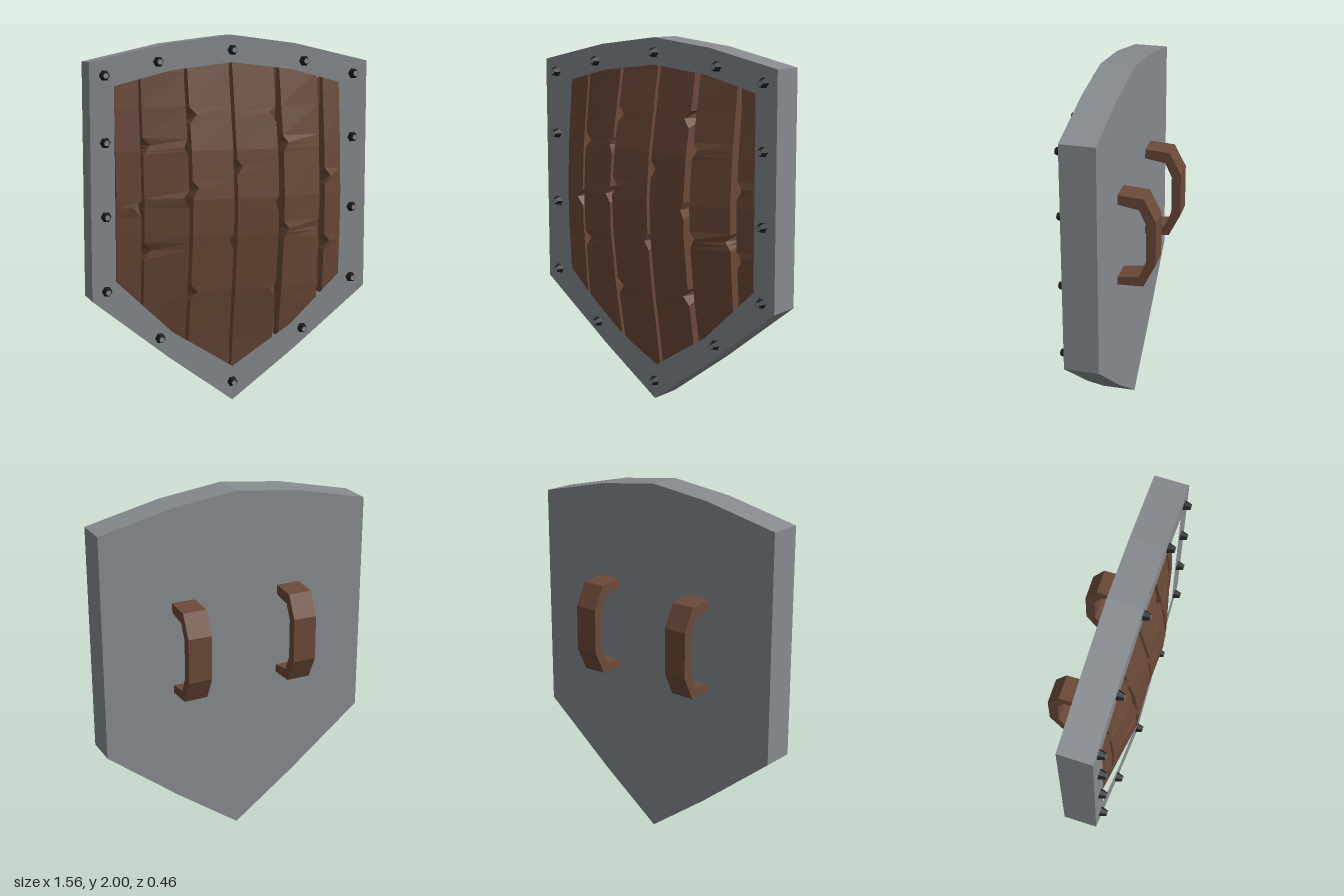
import * as THREE from 'three';

const steel = new THREE.MeshStandardMaterial({ color: 0x868b8f });
steel.name = 'steel';
const wood = new THREE.MeshStandardMaterial({ color: 0x6b4938 });
wood.name = 'wood';
const iron = new THREE.MeshStandardMaterial({ color: 0x1c1d1f });
iron.name = 'darkIron';

const BACK = -0.025, FLOOR = 0.06, FACE = 0.162;

// Right half outlines, from top centre to bottom tip
const OUTER = [[0, 2], [0.36, 1.955], [0.78, 1.86], [0.78, 0.6], [0.36, 0.265], [0, 0]];
const INNER = [[0, 1.855], [0.34, 1.815], [0.65, 1.735], [0.65, 0.7], [0.34, 0.405], [0, 0.19]];

const mirrored = (half) => [
  ...half, ...half.slice(1, -1).reverse().map(([x, y]) => [-x, y]),
].map(([x, y]) => new THREE.Vector2(x, y));

function add(group, name, geometry, material) {
  const mesh = new THREE.Mesh(geometry, material);
  mesh.name = name;
  group.add(mesh);
  return mesh;
}

function slab(points, z0, z1, hole) {
  const shape = new THREE.Shape(points);
  if (hole) shape.holes.push(new THREE.Path(hole));
  return new THREE.ExtrudeGeometry(shape, { depth: z1 - z0, bevelEnabled: false }).translate(0, 0, z0);
}

// Linear interpolation through [key, value] pairs
function lerpKeys(keys, t) {
  for (let i = 1; i < keys.length; i++) {
    const [a, va] = keys[i - 1], [b, vb] = keys[i];
    if (t <= b) return va + (vb - va) * Math.max(0, (t - a) / (b - a));
  }
  return keys[keys.length - 1][1];
}

// Bulge of the wooden face along its height and across its width
const BULGE = [[0.1, 0.025], [0.34, 0.062], [0.62, 0.115], [0.93, 0.157], [1.13, 0.165], [1.39, 0.14], [1.62, 0.095], [1.9, 0.04]];
const ACROSS = [[0, 0.92], [0.25, 0.98], [0.5, 0.62], [0.65, 0.45]];
const faceZ = (x, y) => 0.07 + lerpKeys(BULGE, y) * lerpKeys(ACROSS, Math.abs(x));

// Plank ends tuck just under the rim
const topY = (x) => lerpKeys(INNER.slice(0, 3), Math.abs(x)) + 0.03;
const bottomY = (x) => lerpKeys(INNER.slice(3).reverse(), Math.abs(x)) - 0.035;

// One plank from cross-sections; chips are [height, depth] notches in an edge
function plankGeometry(x0, x1, leftChips, rightChips) {
  const ys = [0, 2, ...BULGE.map((k) => k[0])];
  for (const [y] of [...leftChips, ...rightChips]) ys.push(y - 0.05, y, y + 0.04);
  for (const x of [x0, x1]) ys.push(topY(x), bottomY(x));
  ys.sort((a, b) => a - b);
  const notch = (chips, y) => {
    let d = 0;
    for (const [cy, depth] of chips) {
      d = Math.max(d, lerpKeys([[cy - 0.05, 0], [cy, depth], [cy + 0.04, 0]], y));
    }
    return d;
  };
  const rows = ys.map((y) => {
    const yl = THREE.MathUtils.clamp(y, bottomY(x0), topY(x0));
    const yr = THREE.MathUtils.clamp(y, bottomY(x1), topY(x1));
    const xl = x0 + notch(leftChips, yl), xr = x1 - notch(rightChips, yr);
    return [
      new THREE.Vector3(x0 - 0.004, yl, FLOOR), new THREE.Vector3(xl, yl, faceZ(x0, yl)),
      new THREE.Vector3(xr, yr, faceZ(x1, yr)), new THREE.Vector3(x1 + 0.004, yr, FLOOR),
    ];
  });
  const points = [];
  const tri = (a, b, c) => {
    if (new THREE.Triangle(a, b, c).getArea() > 1e-7) points.push(a, b, c);
  };
  for (let i = 1; i < rows.length; i++) {
    for (let j = 0; j < 3; j++) {
      const a = rows[i - 1][j], b = rows[i - 1][j + 1], c = rows[i][j + 1], d = rows[i][j];
      tri(a, b, c);
      tri(a, c, d);
    }
  }
  const geometry = new THREE.BufferGeometry().setFromPoints(points);
  geometry.computeVertexNormals();
  return geometry;
}

export function createModel() {
  const shield = new THREE.Group();
  shield.name = 'shield';

  // Steel back plate and raised rim
  add(shield, 'backPlate', slab(mirrored(OUTER), BACK, FLOOR), steel);
  add(shield, 'rim', slab(mirrored(OUTER), FLOOR, FACE, mirrored(INNER)), steel);

  // Wooden board seen through the seams
  const board = mirrored(INNER).map((p) => new THREE.Vector2(p.x * 0.985, p.y));
  add(shield, 'backingBoard', slab(board, FLOOR - 0.01, 0.075), wood);

  // Weathered planks
  const planks = [
    [-0.64, -0.51, [], [[1.09, 0.04]]],
    [-0.495, -0.262, [[1.42, 0.04], [0.86, 0.04]], [[1.41, 0.02], [1.14, 0.03]]],
    [-0.242, -0.008, [[1.58, 0.04], [1.19, 0.035], [0.62, 0.04]], [[0.9, 0.025]]],
    [0.012, 0.245, [[1.3, 0.03]], [[1.58, 0.04], [1.1, 0.02], [0.62, 0.035]]],
    [0.28, 0.505, [[1.42, 0.03], [0.95, 0.03]], [[0.95, 0.03]]],
    [0.54, 0.64, [[1.23, 0.035], [0.86, 0.035]], []],
  ];
  planks.forEach(([x0, x1, left, right], i) => {
    add(shield, `plank${i + 1}`, plankGeometry(x0, x1, left, right), wood);
  });

  // Hexagonal rivets around the rim
  const stud = new THREE.CylinderGeometry(0.017, 0.03, 0.04, 6).toNonIndexed().rotateX(Math.PI / 2).rotateZ(Math.PI / 6);
  stud.computeVertexNormals();
  const cap = new THREE.CylinderGeometry(0.015, 0.015, 0.003, 6).rotateX(Math.PI / 2).rotateZ(Math.PI / 6);
  const rivets = [[0, 1.92], [0.41, 1.86], [0.7, 1.79], [0.7, 1.44], [0.7, 1.05], [0.7, 0.65], [0.41, 0.377], [0, 0.103]];
  for (const [x, y] of rivets) {
    for (const side of x ? [1, -1] : [1]) {
      const rivet = new THREE.Group();
      rivet.name = 'rivet';
      rivet.position.set(side * x, y, FACE + 0.018);
      add(rivet, 'rivetBody', stud, iron);
      add(rivet, 'rivetCap', cap, steel).position.z = 0.02;
      shield.add(rivet);
    }
  }

  // Two grips on the back: profile of [distance behind, height]
  const profile = [
    [0.015, 0.912], [0.165, 0.918], [0.23, 1.05], [0.23, 1.3], [0.165, 1.425], [0.015, 1.435],
    [0.015, 1.383], [0.14, 1.362], [0.178, 1.28], [0.178, 1.065], [0.14, 0.972], [0.015, 0.955],
  ].map(([d, y]) => new THREE.Vector2(d, y));
  const grip = slab(profile, -0.067, 0.067).rotateY(Math.PI / 2);
  for (const side of [1, -1]) {
    add(shield, side > 0 ? 'leftGrip' : 'rightGrip', grip, wood).position.x = side * 0.313;
  }
  return shield;
}
